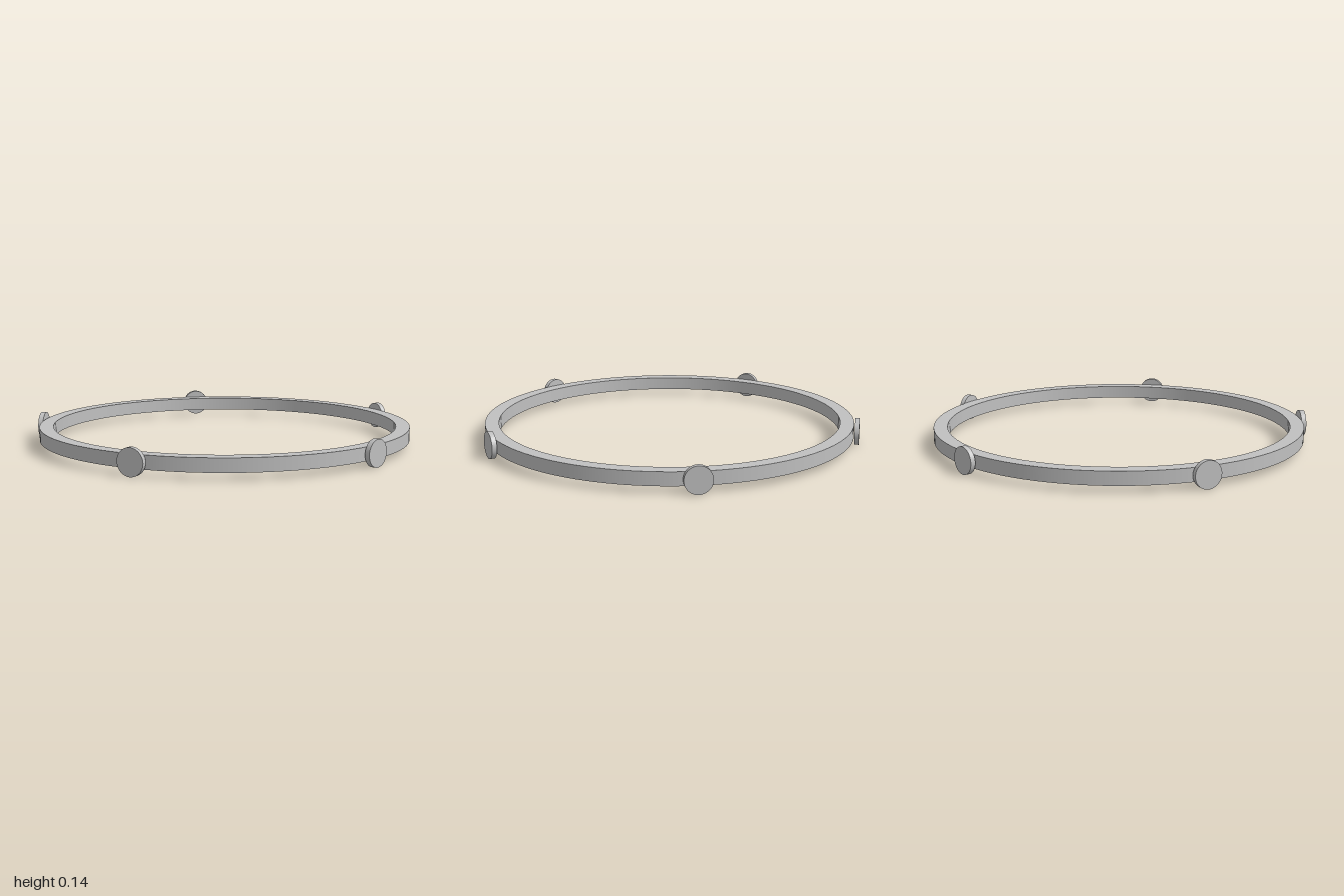
import * as THREE from 'three';

const CENTER_X = -0.015;
const MID_Y = 0.07;
const OUTER = 0.985;
const INNER = 0.912;
const HALF_HEIGHT = 0.035;
const DISC_COUNT = 5;

export function createModel() {
  const model = new THREE.Group();
  model.name = 'studdedRing';
  const metal = new THREE.MeshStandardMaterial({ color: 0xc0c0c0 });
  metal.name = 'grey metal';

  // Flat band: four separate smooth walls keep the edges sharp
  const corners = [
    [INNER, -HALF_HEIGHT], [OUTER, -HALF_HEIGHT],
    [OUTER, HALF_HEIGHT], [INNER, HALF_HEIGHT],
  ].map(([r, y]) => new THREE.Vector2(r, y));
  const band = new THREE.Group();
  band.name = 'band';
  ['bottomFace', 'outerWall', 'topFace', 'innerWall'].forEach((name, i) => {
    const wall = new THREE.Mesh(
      new THREE.LatheGeometry([corners[i], corners[(i + 1) % 4]], 128), metal);
    wall.name = name;
    band.add(wall);
  });
  band.position.set(CENTER_X, MID_Y, 0);
  model.add(band);

  // Round studs spaced evenly around the outside, facing outward
  const discGeometry = new THREE.CylinderGeometry(0.07, 0.07, 0.026, 48);
  discGeometry.rotateZ(-Math.PI / 2);
  discGeometry.translate(1.002, 0, 0);
  for (let i = 0; i < DISC_COUNT; i++) {
    const disc = new THREE.Mesh(discGeometry, metal);
    disc.name = `disc${i + 1}`;
    disc.position.set(CENTER_X, MID_Y, 0);
    disc.rotation.y = (i * Math.PI * 2) / DISC_COUNT;
    model.add(disc);
  }
  return model;
}
